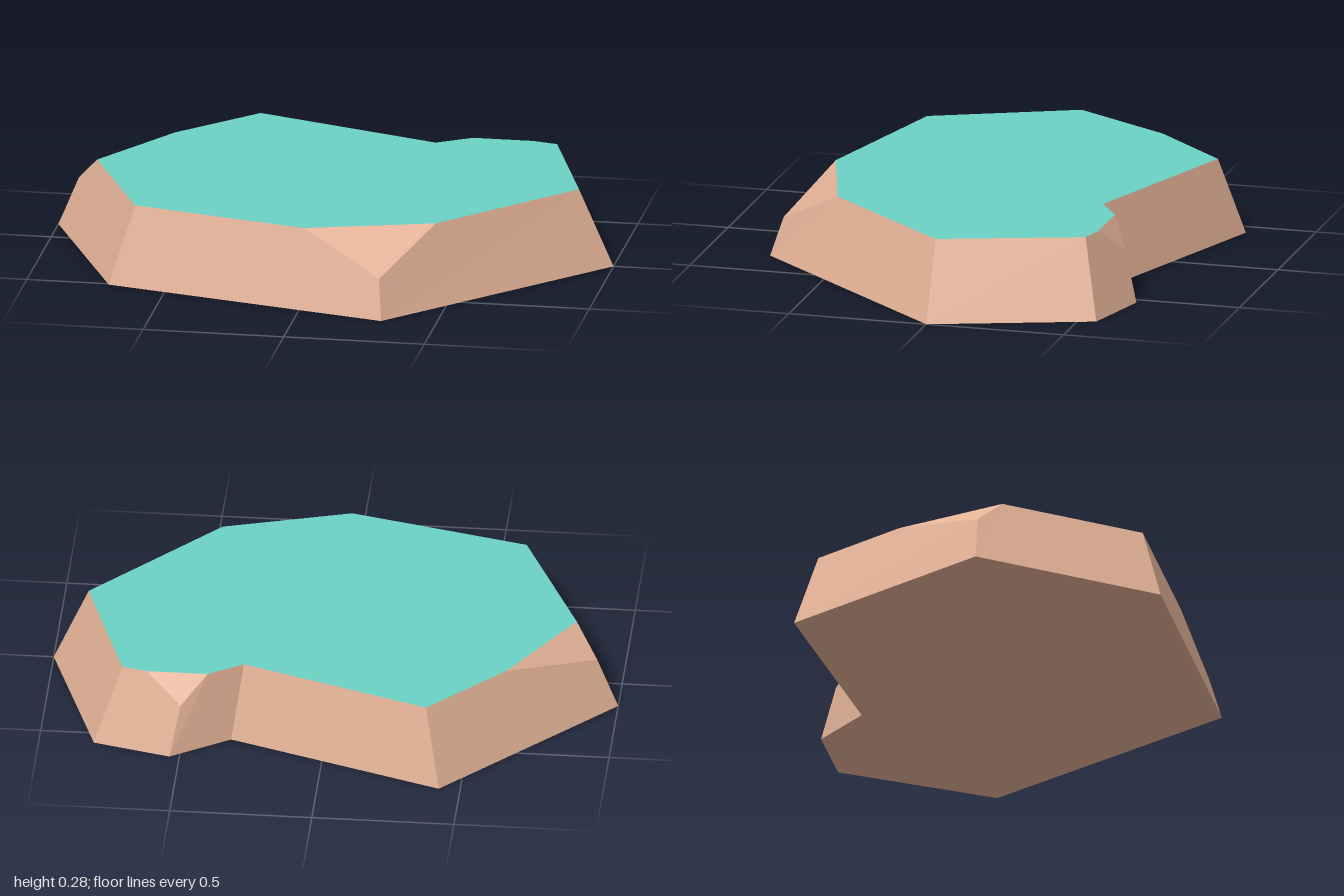
import * as THREE from 'three';

const HEIGHT = 0.277;

// Corners run anticlockwise seen from above, as [x, z] pairs.
// A chipped corner has a mid point [x, y, z] and two points on the top rim.
const corners = [
  { base: [-1, -0.15], mid: [-0.925, 0.18, -0.14], top: [[-0.63, -0.405], [-0.845, -0.05]] },
  { base: [-0.707, 0.51], top: [[-0.623, 0.45]] },
  { base: [0.305, 0.762], mid: [0.29, 0.14, 0.717], top: [[0.005, 0.607], [0.45, 0.475]] },
  { base: [1, 0], top: [[0.877, 0]] },
  { base: [0.807, -0.565], top: [[0.713, -0.5]] },
  { base: [0.535, -0.635], mid: [0.5, 0.18, -0.585], top: [[0.625, -0.522], [0.41, -0.522]] },
  { base: [0.33, -0.5], top: [[0.29, -0.445]] },
  { base: [-0.425, -0.765], top: [[-0.372, -0.678]] },
];

// Flat-shaded geometry from convex polygons, each cut into a fan
function polygons(list) {
  const positions = [];
  for (const p of list) {
    for (let i = 1; i < p.length - 1; i++) positions.push(...p[0], ...p[i], ...p[i + 1]);
  }
  const geometry = new THREE.BufferGeometry();
  geometry.setAttribute('position', new THREE.Float32BufferAttribute(positions, 3));
  geometry.computeVertexNormals();
  return geometry;
}

// Horizontal outline facing up (side = 1) or down (side = -1)
function cap(outline, y, side) {
  const shape = new THREE.Shape(outline.map(([x, z]) => new THREE.Vector2(x, -side * z)));
  return new THREE.ShapeGeometry(shape).rotateX(-side * Math.PI / 2).translate(0, y, 0);
}

export function createModel() {
  const dirt = new THREE.MeshStandardMaterial({ color: 0xe2b196 });
  dirt.name = 'dirt';
  const teal = new THREE.MeshStandardMaterial({ color: 0x6bd2c5 });
  teal.name = 'tealGrass';

  const group = new THREE.Group();
  group.name = 'plateauRock';
  const add = (name, geometry, material) => {
    const mesh = new THREE.Mesh(geometry, material);
    mesh.name = name;
    group.add(mesh);
  };

  // Sloping walls between neighbouring corners, and the chipped corner facets
  const walls = [];
  const chips = [];
  const low = ([x, z]) => [x, 0, z];
  const high = ([x, z]) => [x, HEIGHT, z];
  corners.forEach((a, i) => {
    const b = corners[(i + 1) % corners.length];
    const wall = [low(a.base), low(b.base)];
    if (b.mid) wall.push(b.mid);
    wall.push(high(b.top[0]), high(a.top[a.top.length - 1]));
    if (a.mid) {
      wall.push(a.mid);
      chips.push([a.mid, high(a.top[1]), high(a.top[0])]);
    }
    walls.push(wall);
  });
  add('cliffWalls', polygons(walls), dirt);
  add('chippedCorners', polygons(chips), dirt);

  // Underside and grassy top
  add('underside', cap(corners.map((c) => c.base), 0, -1), dirt);
  add('grassTop', cap(corners.flatMap((c) => c.top), HEIGHT, 1), teal);

  return group;
}
